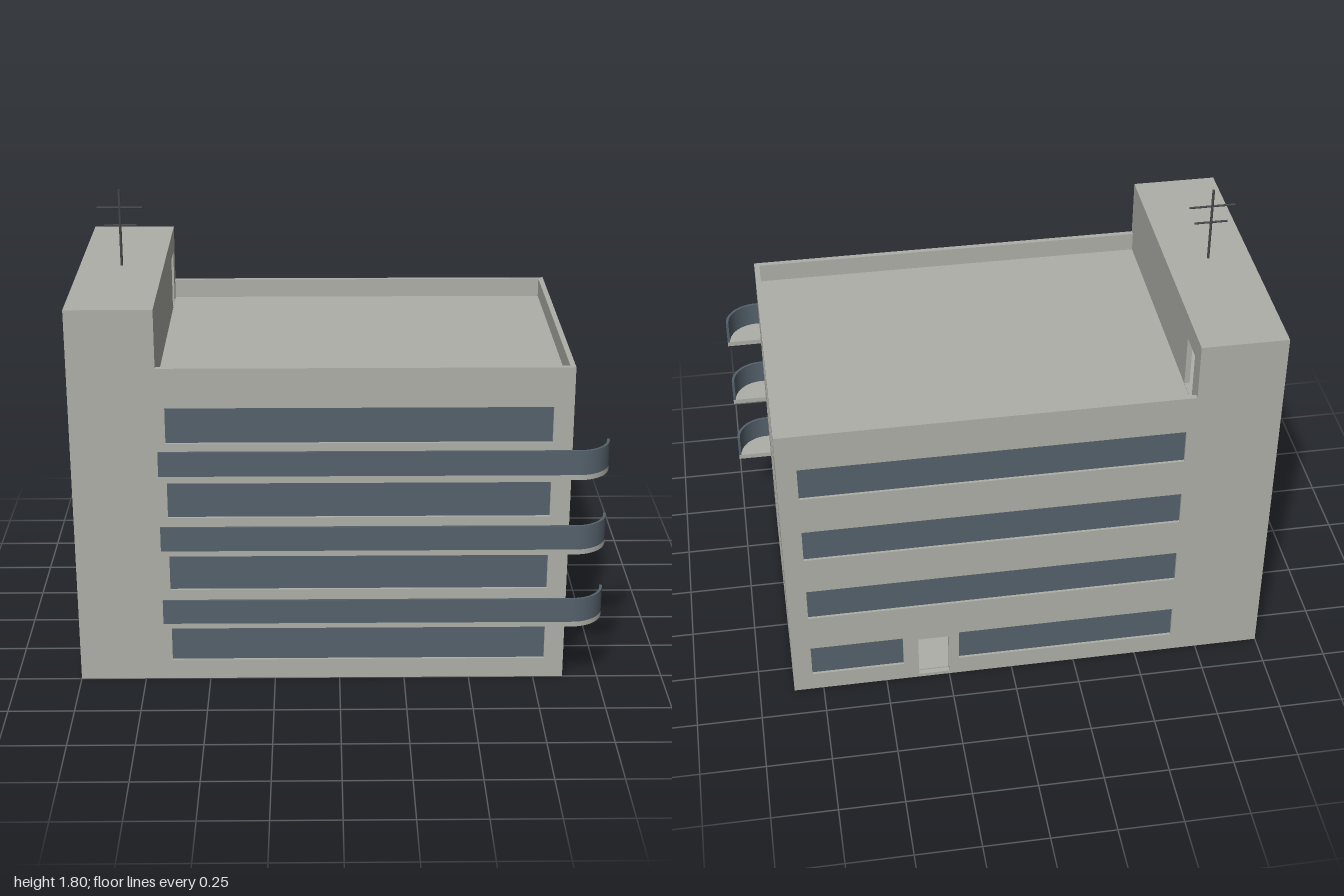
import * as THREE from 'three';

const T = 0.02; // wall thickness
const X0 = -1, X1 = 0.865, XT = -0.675, Z0 = -0.625, Z1 = 0.5;
const H = 1.275, HT = 1.5, ROOF = 1.2;

const mat = (name, color, side = THREE.FrontSide) => {
  const m = new THREE.MeshStandardMaterial({ color, side });
  m.name = name;
  return m;
};

export function createModel() {
  const concrete = mat('concrete', 0xafafa9);
  const glass = mat('blue grey glass', 0x55616b, THREE.DoubleSide);
  const brown = mat('brown floor', 0x94826e);
  const metal = mat('dark metal', 0x46484a);

  const model = new THREE.Group();
  model.name = 'apartmentBlock';

  const add = (name, geo, material, parent = model) => {
    const mesh = new THREE.Mesh(geo, material);
    mesh.name = name;
    parent.add(mesh);
    return mesh;
  };
  // Box given by its limits on each axis
  const box = (name, x0, x1, y0, y1, z0, z1, material, parent) => {
    const g = new THREE.BoxGeometry(x1 - x0, y1 - y0, z1 - z0);
    g.translate((x0 + x1) / 2, (y0 + y1) / 2, (z0 + z1) / 2);
    return add(name, g, material, parent);
  };

  // Wall with openings: the group's local z = 0 is the outer face, local +z points outward
  function wall(name, outline, windows, doors) {
    const g = new THREE.Group();
    g.name = name;
    const shape = new THREE.Shape(outline.map(([x, y]) => new THREE.Vector2(x, y)));
    for (const [a, b, c, d] of [...windows, ...doors]) {
      shape.holes.push(new THREE.Path([
        new THREE.Vector2(a, c), new THREE.Vector2(a, d),
        new THREE.Vector2(b, d), new THREE.Vector2(b, c)]));
    }
    const geo = new THREE.ExtrudeGeometry(shape, { depth: T, bevelEnabled: false });
    geo.translate(0, 0, -T);
    add(name + 'Panel', geo, concrete, g);
    for (const [a, b, c, d] of windows) box('window', a, b, c, d, -0.016, -0.01, glass, g);
    model.add(g);
    return g;
  }
  const rect = (a, b, c, d) => [[a, c], [b, c], [b, d], [a, d]];
  const levels = [0.08, 0.38, 0.68, 0.98];
  const strips = (a, b, from = 0) => levels.slice(from).map(y => [a, b, y, y + 0.14]);

  // Outer walls; the front and back rise at the stair tower
  const profile = [[X0, 0], [X1, 0], [X1, H], [XT, H], [XT, HT], [X0, HT]];
  wall('frontWall', profile, strips(-0.645, 0.79), []).position.z = Z1;

  const mirrored = profile.map(([x, y]) => [-x, y]).reverse();
  const back = wall('backWall', mirrored,
    [...strips(-0.79, 0.645, 1), [-0.79, -0.43, 0.08, 0.22], [-0.21, 0.645, 0.08, 0.22]],
    [[-0.37, -0.25, 0.015, 0.205]]);
  back.rotation.y = Math.PI;
  back.position.z = Z0;

  const right = wall('leftSideWall', rect(-Z1 + T, -Z0 - T, 0, H), strips(-0.315, 0.44), []);
  right.rotation.y = Math.PI / 2;
  right.position.x = X1;

  const left = wall('rightSideWall', rect(Z0 + T, Z1 - T, 0, HT), strips(-0.215, 0.09),
    [[-0.575, -0.46, 0.015, 0.205]]);
  left.rotation.y = -Math.PI / 2;
  left.position.x = X0;

  const tower = wall('towerWall', rect(-Z1 + T, -Z0 - T, ROOF - 0.02, HT), [],
    [[0.44, 0.55, ROOF + 0.003, 1.41]]);
  tower.rotation.y = Math.PI / 2;
  tower.position.x = XT;

  // Roofs and storey slabs
  const inner = [Z0 + T, Z1 - T];
  box('towerRoof', X0 + T, XT - T, HT - 0.02, HT, ...inner, concrete);
  for (const y of [0.02, 0.3, 0.6, 0.9, ROOF]) {
    box(y === ROOF ? 'mainRoof' : 'storeySlab', X0 + T, X1 - T, y - 0.015, y, ...inner, concrete);
  }

  // Underside with marks of partitions and fittings
  box('baseFloor', X0 + T, X1 - T, 0.001, 0.005, ...inner, brown);
  for (const [x, z] of [[0.42, -0.12], [0, -0.2], [-0.5, -0.14], [0.25, 0.28], [-0.2, 0.25], [-0.62, 0.28]]) {
    box('floorPatch', x - 0.07, x + 0.07, 0, 0.002, z - 0.05, z + 0.05, concrete);
  }
  box('partitionMark', XT, X1 - T, 0, 0.002, 0.05, 0.056, concrete);
  for (const x of [0.3, -0.2, XT]) box('partitionMark', x, x + 0.006, 0, 0.002, ...inner, concrete);

  // Balconies with one rounded end
  const r = Z1 + 0.125, cx = 0.875, bx = -0.665, w = 0.01;
  const slab = new THREE.Shape();
  slab.moveTo(bx, -Z1);
  slab.lineTo(bx, -r);
  slab.lineTo(cx, -r);
  slab.absarc(cx, -Z1, 0.125, -Math.PI / 2, 0, false);
  slab.closePath();
  const rail = new THREE.Shape();
  rail.moveTo(bx, -r);
  rail.lineTo(cx, -r);
  rail.absarc(cx, -Z1, 0.125, -Math.PI / 2, 0, false);
  rail.lineTo(cx + 0.125 - w, -Z1);
  rail.absarc(cx, -Z1, 0.125 - w, 0, -Math.PI / 2, true);
  rail.lineTo(bx, -r + w);
  rail.closePath();
  const raise = (shape, depth) =>
    new THREE.ExtrudeGeometry(shape, { depth, bevelEnabled: false, curveSegments: 24 }).rotateX(-Math.PI / 2);
  const slabGeo = raise(slab, 0.02), railGeo = raise(rail, 0.095);
  for (const y of [0.28, 0.58, 0.88]) {
    const balcony = new THREE.Group();
    balcony.name = 'balcony';
    add('balconySlab', slabGeo, concrete, balcony);
    add('balconyRail', railGeo, glass, balcony).position.y = 0.02;
    balcony.position.y = y;
    model.add(balcony);
  }

  // Roof aerial
  const aerial = new THREE.Group();
  aerial.name = 'aerial';
  add('mast', new THREE.CylinderGeometry(0.005, 0.005, 0.3, 8), metal, aerial).position.y = 0.15;
  for (const [y, len] of [[0.23, 0.175], [0.16, 0.125]]) {
    const bar = add('crossBar', new THREE.CylinderGeometry(0.004, 0.004, len, 8).rotateZ(Math.PI / 2), metal, aerial);
    bar.position.y = y;
  }
  aerial.position.set(-0.838, HT, -0.065);
  model.add(aerial);

  return model;
}
